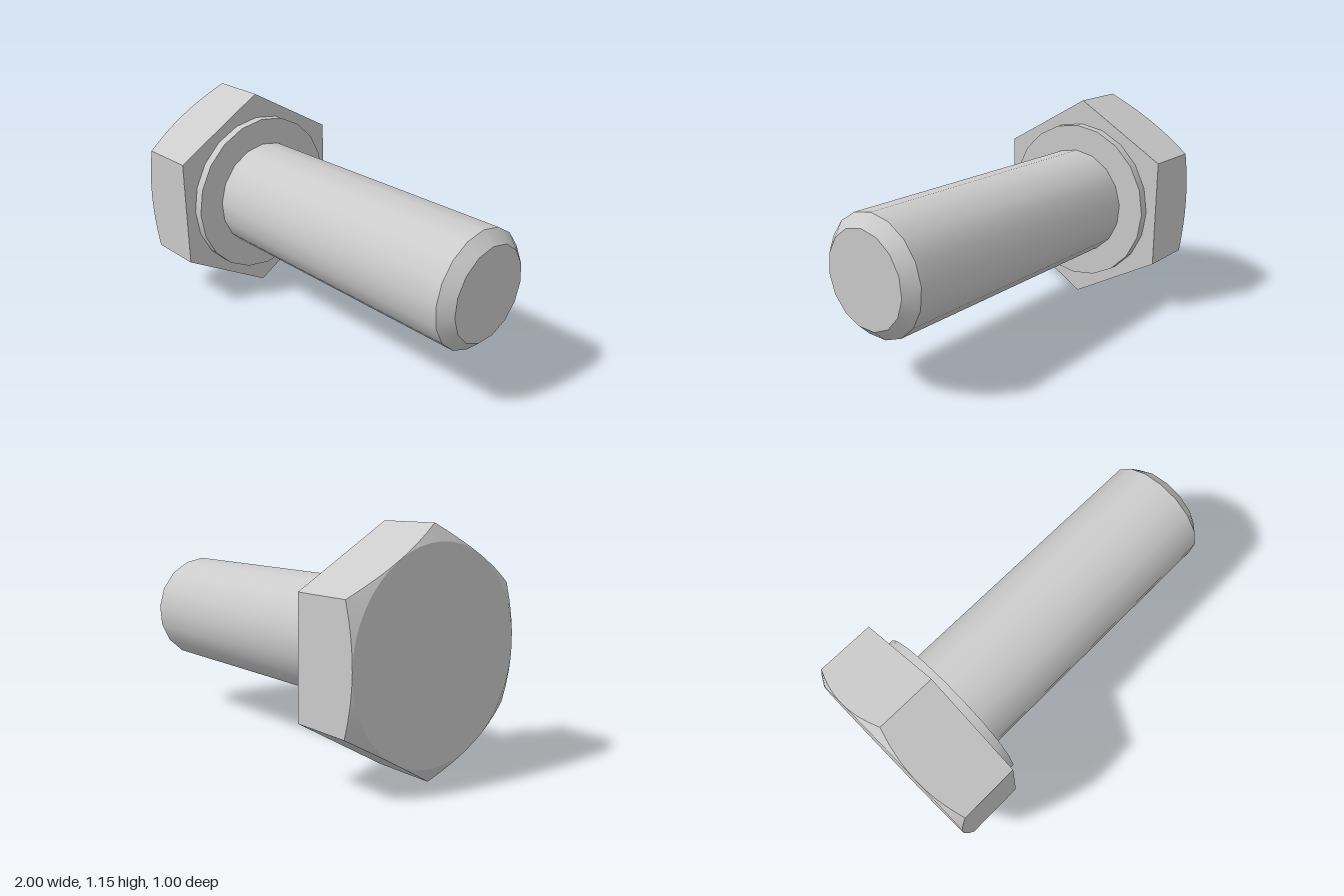
import * as THREE from 'three';

const AXIS_Y = 0.577;            // height of the bolt's axis
const HEX_R = 0.577, FLAT = 0.5; // across corners / across flats (halves)
const SHANK_R = 0.3, SHANK_N = 17;
const TIP_R = 0.241, TIP_N = 15;
const HEAD_N = 48;               // samples around the head, a multiple of 12

// Ring of points around the x axis, starting at the top
function ring(n, radius, xAt) {
  return Array.from({ length: n }, (_, i) => {
    const a = (i / n) * Math.PI * 2, r = radius(a);
    return [xAt(r), r * Math.cos(a), r * Math.sin(a)];
  });
}

// Band between two rings (a at lower x), whose point counts may differ
function stitch(a, b) {
  const idx = [], A = (i) => i % a.length, B = (j) => a.length + (j % b.length);
  let i = 0, j = 0;
  while (i < a.length || j < b.length) {
    if (j >= b.length || (i < a.length && (i + 1) / a.length <= (j + 1) / b.length)) {
      idx.push(A(i), A(i + 1), B(j)); i++;
    } else {
      idx.push(A(i), B(j + 1), B(j)); j++;
    }
  }
  const g = new THREE.BufferGeometry();
  g.setAttribute('position', new THREE.Float32BufferAttribute([...a, ...b].flat(), 3));
  g.setIndex(idx);
  g.computeVertexNormals();
  return g;
}

// Flat end cap facing +x (dir 1) or -x (dir -1)
const cap = (r, n, x, dir) =>
  new THREE.CircleGeometry(r, n, Math.PI / 2).rotateY(dir * Math.PI / 2).translate(x, 0, 0);

// Cylinder lying along x from x0 to x1
const rod = (r, n, x0, x1, open) =>
  new THREE.CylinderGeometry(r, r, x1 - x0, n, 1, open, -Math.PI / 2)
    .rotateZ(-Math.PI / 2).translate((x0 + x1) / 2, 0, 0);

export function createModel() {
  const bolt = new THREE.Group();
  bolt.name = 'hexBolt';
  const smooth = new THREE.MeshStandardMaterial({ color: 0xcccccc });
  const flat = new THREE.MeshStandardMaterial({ color: 0xcccccc, flatShading: true });
  const add = (name, geometry, material = smooth) => {
    const mesh = new THREE.Mesh(geometry, material);
    mesh.name = name;
    mesh.position.y = AXIS_Y;
    bolt.add(mesh);
  };

  // Hexagonal head: its outer edge is cut by a 30 degree cone, giving curved rims
  const hexRadius = (a) => FLAT / Math.cos((a % (Math.PI / 3)) - Math.PI / 6);
  const coneX = (r) => -1 + (r - FLAT) * Math.tan(Math.PI / 6);
  const face = ring(HEAD_N, () => FLAT, () => -1);
  const rim = ring(HEAD_N, hexRadius, coneX);
  const base = ring(HEAD_N, hexRadius, () => -0.65);
  add('headEnd', cap(FLAT, HEAD_N, -1, -1));
  add('headChamfer', stitch(face, rim));
  add('headSides', stitch(rim, base), flat);
  add('headUnderside', cap(HEX_R, 6, -0.65, 1));

  // Round bearing collar under the head
  add('collar', rod(0.443, 20, -0.65, -0.6, false));

  // Shank with a chamfered tip
  add('shank', rod(SHANK_R, SHANK_N, -0.6, 0.94, true));
  add('tipChamfer', stitch(
    ring(SHANK_N, () => SHANK_R, () => 0.94),
    ring(TIP_N, () => TIP_R, () => 1)));
  add('tipEnd', cap(TIP_R, TIP_N, 1, 1));

  return bolt;
}
